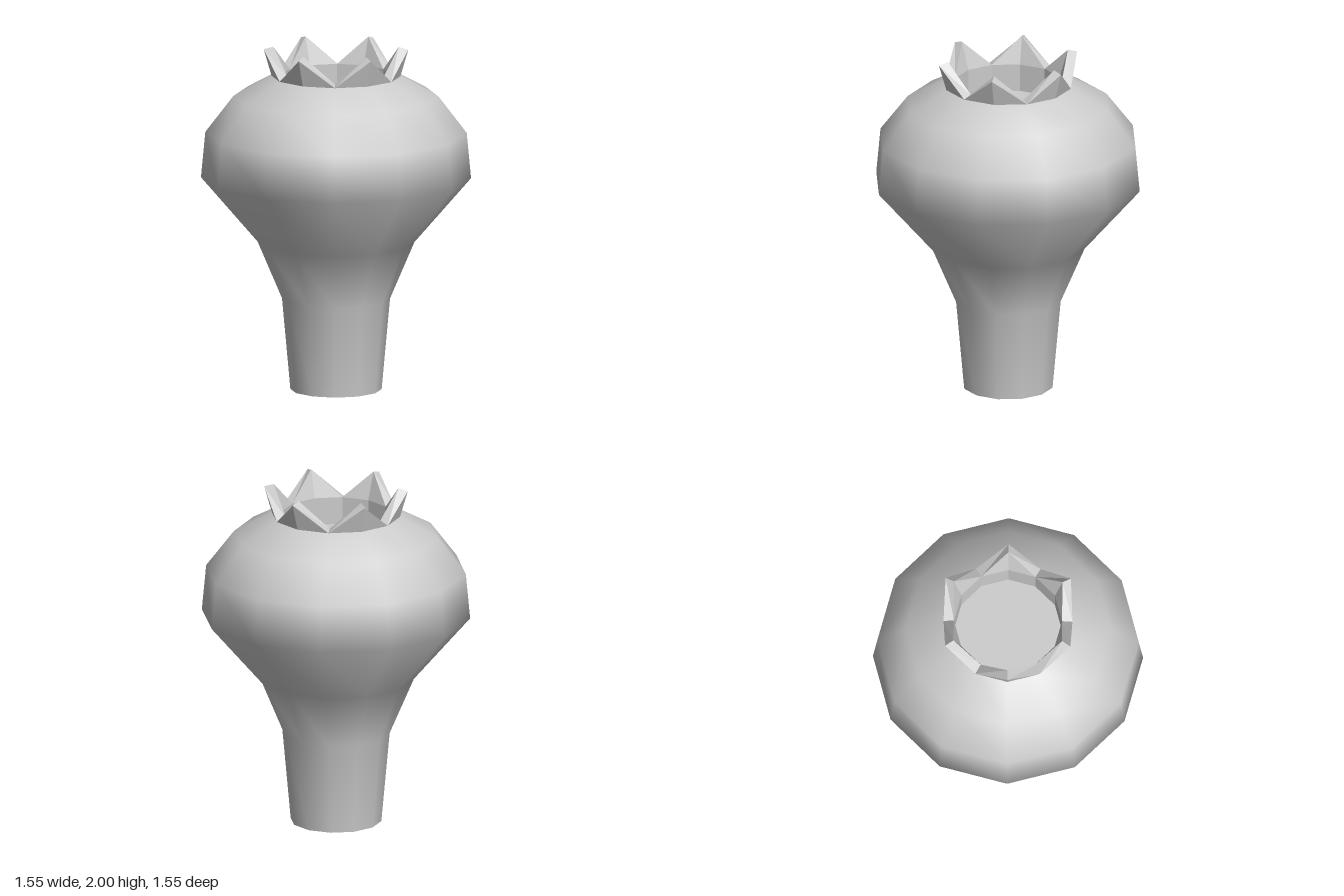
import * as THREE from 'three';

const SIDES = 12;
const grey = () => new THREE.MeshStandardMaterial({ color: 0xcccccc });
const greyFlat = () => new THREE.MeshStandardMaterial({ color: 0xcccccc, flatShading: true });

function add(group, name, geometry, material) {
  const mesh = new THREE.Mesh(geometry, material);
  mesh.name = name;
  group.add(mesh);
  return mesh;
}

function lathe(profile) {
  return new THREE.LatheGeometry(profile.map(([r, y]) => new THREE.Vector2(r, y)), SIDES);
}

// Ring of six outward-leaning points: each cross-section is a valley or a peak
function crownGeometry() {
  const valley = [[0.37, 1.83], [0.37, 1.83], [0.31, 1.84], [0.31, 1.84]];
  const peak = [[0.37, 1.83], [0.415, 1.985], [0.36, 2.0], [0.31, 1.84]];
  const positions = [];
  const index = [];
  for (let i = 0; i < SIDES; i++) {
    const a = (i / SIDES) * Math.PI * 2;
    for (const [r, y] of i % 2 ? valley : peak) {
      positions.push(Math.sin(a) * r, y, Math.cos(a) * r);
    }
    const p = i * 4;
    const q = ((i + 1) % SIDES) * 4;
    for (let k = 0; k < 3; k++) {
      // outer and inner faces meet the valley in a single corner
      if (k === 1 || i % 2) index.push(p + k, q + k, q + k + 1);
      if (k === 1 || i % 2 === 0) index.push(p + k, q + k, p + k + 1);
      if (k === 1) {
        index.splice(-6, 6, p + k, q + k, q + k + 1, p + k, q + k + 1, p + k + 1);
      }
    }
  }
  const geometry = new THREE.BufferGeometry();
  geometry.setAttribute('position', new THREE.Float32BufferAttribute(positions, 3));
  geometry.setIndex(index);
  const flat = geometry.toNonIndexed();
  flat.computeVertexNormals();
  return flat;
}

export function createModel() {
  const group = new THREE.Group();
  group.name = 'seedPod';

  // Stem swelling into the rounded pod
  add(group, 'body', lathe([
    [0.262, 0], [0.31, 0.53], [0.45, 0.86], [0.775, 1.235],
    [0.75, 1.5], [0.59, 1.71], [0.37, 1.83],
  ]), grey());

  // Flat underside of the stem
  const base = add(group, 'base', new THREE.CircleGeometry(0.262, SIDES), greyFlat());
  base.rotation.x = Math.PI / 2;

  // Pointed crown around the opening
  add(group, 'crown', crownGeometry(), greyFlat());

  // Recess inside the crown
  add(group, 'recessWall', lathe([[0.31, 1.84], [0.31, 1.68]]), greyFlat());
  const floor = add(group, 'recessFloor', new THREE.CircleGeometry(0.31, SIDES), greyFlat());
  floor.rotation.x = -Math.PI / 2;
  floor.position.y = 1.68;

  return group;
}
